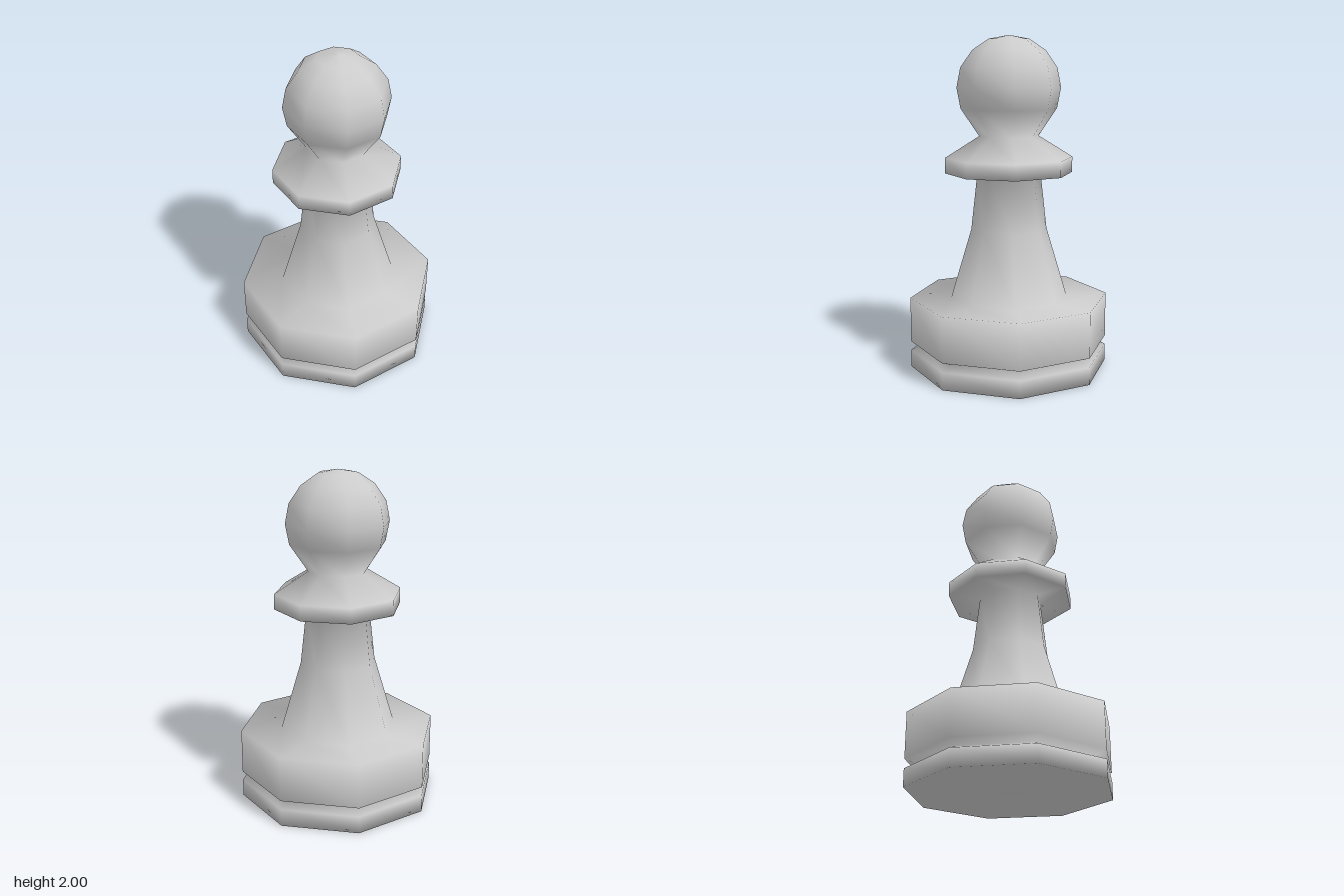
import * as THREE from 'three';

const SIDES = 8;

// Half outline of each part [radius, height]; each part starts where the last one ended
const PARTS = {
  base: [[0, 0], [0.6, 0], [0.6, 0.105], [0.53, 0.132], [0.6, 0.16], [0.6, 0.433], [0.352, 0.433]],
  stem: [[0.228, 0.85], [0.19, 1.19]],
  collar: [[0.382, 1.19], [0.382, 1.282], [0.178, 1.41]],
  head: [[0.287, 1.573], [0.31, 1.695], [0.287, 1.812], [0.217, 1.913], [0.12, 1.978], [0, 2]],
};

export function createModel() {
  const model = new THREE.Group();
  model.name = 'chessPawn';
  const material = new THREE.MeshStandardMaterial({ color: 0xcccccc });

  // One turned body, so the shading runs smoothly across the joints
  const profile = Object.values(PARTS).flat().map(([r, y]) => new THREE.Vector2(r, y));
  const turned = new THREE.LatheGeometry(profile, SIDES);
  const index = Array.from(turned.index.array);
  const bands = profile.length - 1;

  // Cut the body into its named parts, band by band
  let end = -1;
  for (const [name, outline] of Object.entries(PARTS)) {
    const start = Math.max(end, 0);
    end += outline.length;
    const cut = turned.clone();
    cut.setIndex(index.filter((_, k) => {
      const band = Math.floor(k / 6) % bands;
      return band >= start && band < end;
    }));
    const mesh = new THREE.Mesh(cut.toNonIndexed(), material);
    mesh.name = name;
    model.add(mesh);
  }
  return model;
}
